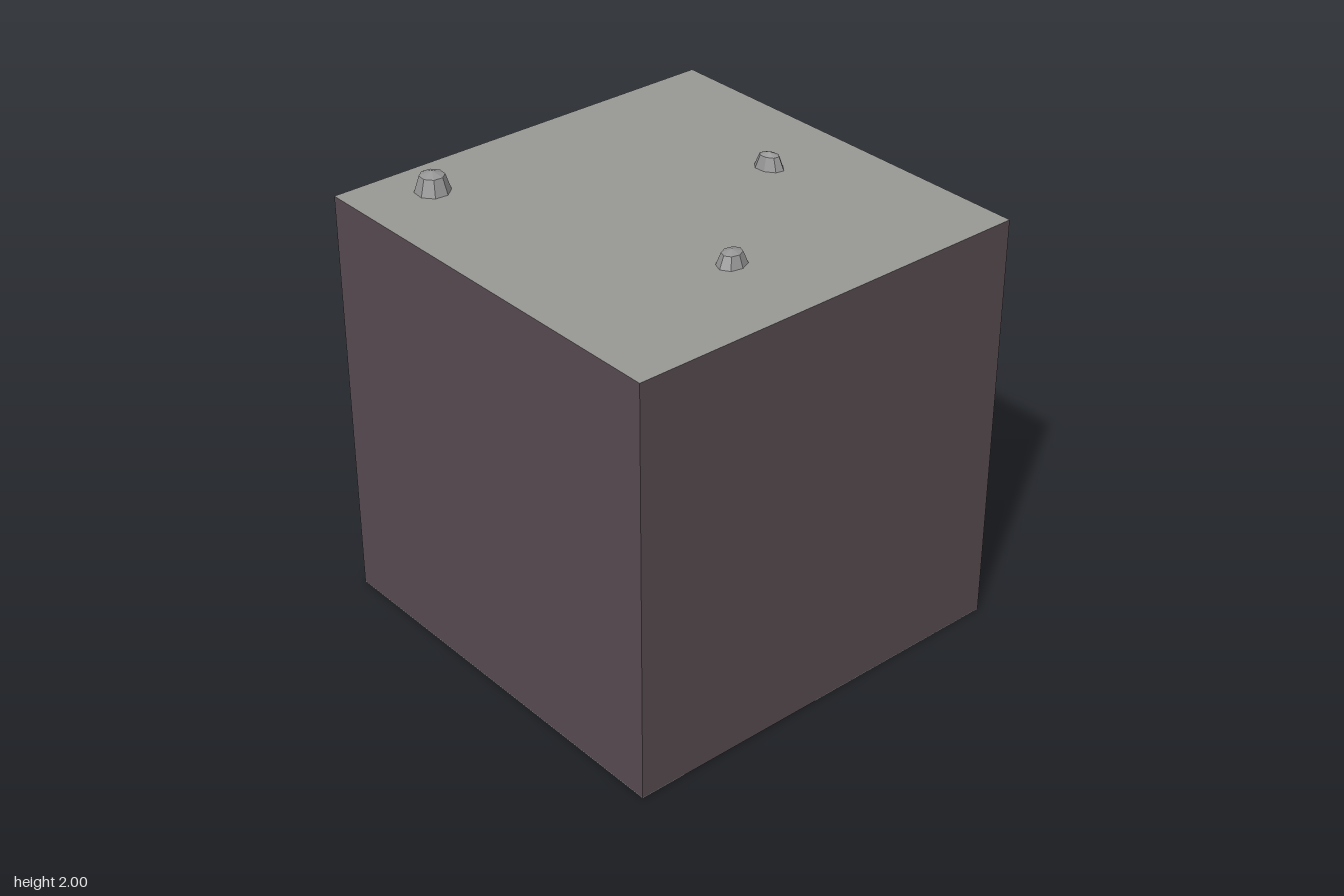
import * as THREE from 'three';

const mat = (name, color, flatShading = false) => {
  const m = new THREE.MeshStandardMaterial({ color, flatShading });
  m.name = name;
  return m;
};

export function createModel() {
  const group = new THREE.Group();
  const wall = mat('plum wall', 0x584c52);
  const stone = mat('warm grey', 0x999996);
  const rock = mat('rock grey', 0x969696, true);
  const slate = mat('dark slate', 0x5a6165);
  const purple = mat('purple', 0x8a4fc6);
  const teal = mat('muted teal', 0x80a59d);

  const size = 1.91, half = size / 2, plate = 0.004;

  // Block: plum sides, grey top
  const block = new THREE.Mesh(
    new THREE.BoxGeometry(size, size - plate, size),
    [wall, wall, stone, stone, wall, wall]);
  block.name = 'block';
  block.position.y = plate + (size - plate) / 2;
  group.add(block);

  // Underside tiles, as fractions: a runs from back to front, b from +x to -x
  const tiles = new THREE.Group();
  tiles.name = 'undersideTiles';
  group.add(tiles);
  const tile = (name, material, a0, a1, b0, b1) => {
    const m = new THREE.Mesh(
      new THREE.BoxGeometry((b1 - b0) * size, plate, (a1 - a0) * size), material);
    m.name = name;
    m.position.set(half - (b0 + b1) / 2 * size, plate / 2, (a0 + a1) / 2 * size - half);
    tiles.add(m);
  };
  tile('purpleTile', purple, 0, 0.49, 0.137, 0.512);
  tile('tealTile', teal, 0.094, 0.49, 0.512, 0.888);
  tile('plumTile', wall, 0.49, 1, 0.512, 0.888);
  tile('slateTile', slate, 0.49, 0.87, 0.137, 0.512);
  tile('slateSideStrip', slate, 0, 0.49, 0, 0.137);
  tile('slateBackStrip', slate, 0, 0.094, 0.512, 0.888);
  tile('greyRightBorder', stone, 0, 1, 0.888, 1);
  tile('greyLeftBorder', stone, 0.49, 1, 0, 0.137);
  tile('greyFrontBorder', stone, 0.87, 1, 0.137, 0.512);

  // Faceted pebbles: tapered sides with a low domed cap
  const pebble = (x, z, rx, rz, height, turn, sides, cap) => {
    const profile = [[1, 0], [cap, 0.8], [0, 1]].map(p => new THREE.Vector2(...p));
    const m = new THREE.Mesh(new THREE.LatheGeometry(profile, sides), rock);
    m.name = 'pebble';
    m.scale.set(rx, height, rz);
    m.rotation.y = turn;
    m.position.set(x, size, z);
    group.add(m);
  };
  pebble(-0.625, -0.737, 0.077, 0.077, 0.09, 0.3, 8, 0.7);
  pebble(0.55, -0.008, 0.046, 0.068, 0.072, 0.35, 8, 0.66);
  pebble(-0.12, 0.51, 0.07, 0.057, 0.065, 0.1, 8, 0.68);

  return group;
}
